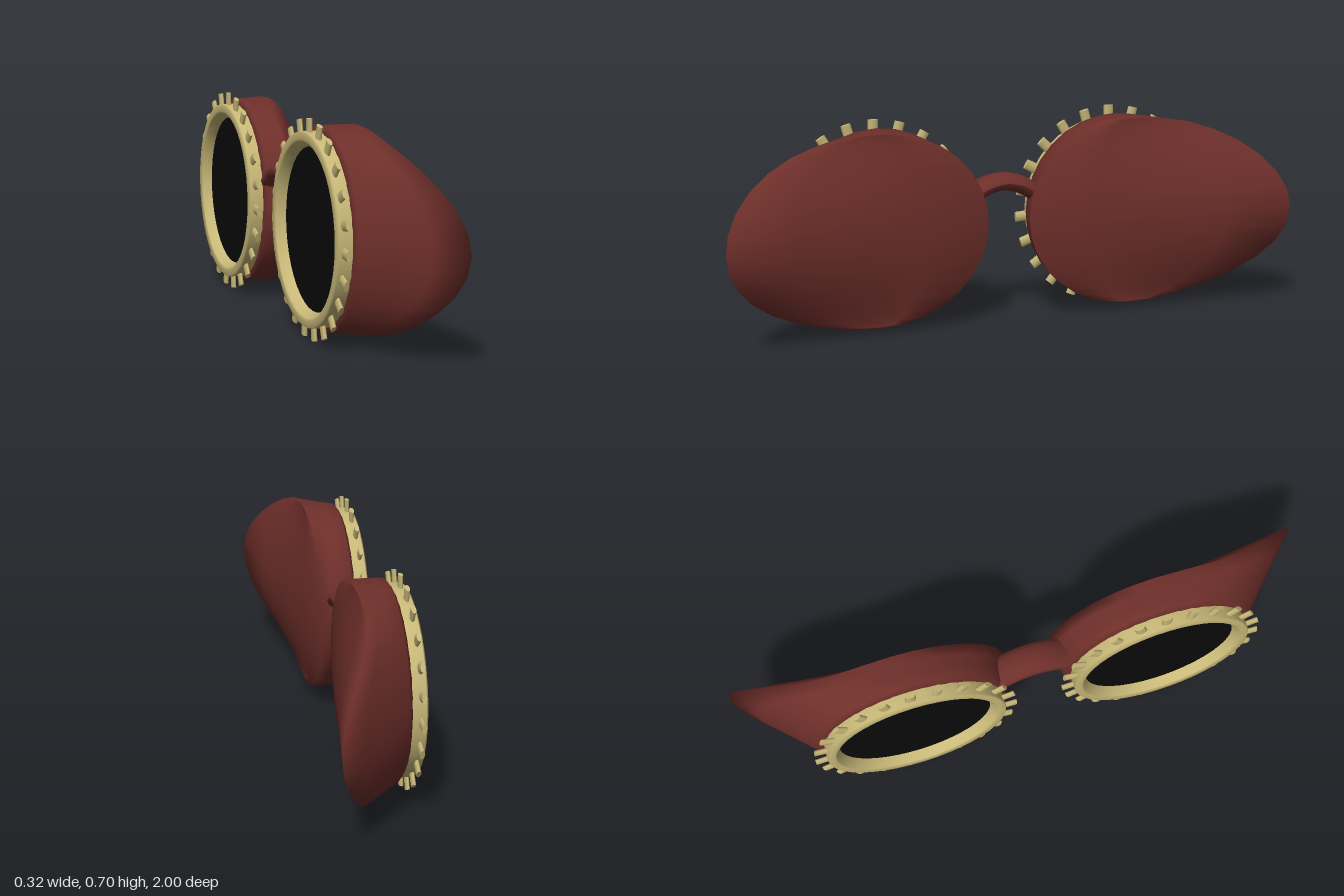
import * as THREE from 'three';
import { mergeVertices } from 'three/addons/utils/BufferGeometryUtils.js';

const SEG = 32, CY = 0.35, RING_Z = 0.43;
const red = new THREE.MeshStandardMaterial({ color: 0x6e2f2a, side: THREE.DoubleSide });
const brass = new THREE.MeshStandardMaterial({ color: 0xc8b878, side: THREE.DoubleSide });
const black = new THREE.MeshStandardMaterial({ color: 0x0a0a0a, side: THREE.DoubleSide });

function named(name, geometry, material) {
  const mesh = new THREE.Mesh(geometry, material);
  mesh.name = name;
  return mesh;
}

// A round section near the lens, in the plane x = const
const circlePoint = (x, r, a) =>
  new THREE.Vector3(x, r * Math.sin(a), RING_Z + r * Math.cos(a));

// Open edge of the cup: a lopsided oval whose outer end sweeps forward in x
function rimPoint(a) {
  const c = Math.cos(a), s = Math.sin(a);
  const off = Math.abs(Math.atan2(s, c)) / THREE.MathUtils.degToRad(75);
  const sweep = off < 1 ? (1 + Math.cos(Math.PI * off)) / 2 : 0;
  return new THREE.Vector3(0.018 + 0.142 * sweep, 0.328 * s, 0.45 + (c > 0 ? 0.55 : 0.375) * c);
}

// Cup: lofted flank plus a face ruled straight across from inner to outer edge
function cupGeometry() {
  const pos = [];
  const quad = (a, b, c, d) => {
    for (const p of [a, d, c, a, c, b]) pos.push(p.x, p.y, p.z);
  };
  const loft = (rows) => {
    for (let i = 0; i < rows.length - 1; i++)
      for (let j = 0; j < rows[i].length - 1; j++)
        quad(rows[i][j], rows[i][j + 1], rows[i + 1][j + 1], rows[i + 1][j]);
  };
  const ring = (fn) => Array.from({ length: SEG + 1 }, (_, j) => fn((j % SEG) / SEG * Math.PI * 2));

  const shoulder = (a) => circlePoint(-0.095, 0.327, a);
  const flank = [ring((a) => circlePoint(-0.1, 0.25, a)), ring((a) => circlePoint(-0.108, 0.309, a))];
  for (const t of [0, 0.33, 0.67, 1]) flank.push(ring((a) => shoulder(a).lerp(rimPoint(a), t)));
  loft(flank);

  const face = [], cols = 4;
  for (let j = 0; j <= SEG / 2; j++) {
    const a = Math.PI / 2 - j / SEG * Math.PI * 2;
    const outer = rimPoint(a), inner = rimPoint(Math.PI - a);
    face.push(Array.from({ length: cols + 1 }, (_, k) => outer.clone().lerp(inner, k / cols)));
  }
  loft(face);

  const g = new THREE.BufferGeometry();
  g.setAttribute('position', new THREE.Float32BufferAttribute(pos, 3));
  const merged = mergeVertices(g, 1e-4);
  merged.computeVertexNormals();
  return merged;
}

function eyepiece(side) {
  const group = new THREE.Group();
  group.name = side > 0 ? 'leftEyepiece' : 'rightEyepiece';
  group.position.y = CY;

  const cup = named('cup', cupGeometry(), red);
  if (side < 0) cup.rotation.x = Math.PI; // the cup is symmetric in height
  group.add(cup);

  // Bezel ring with a bevelled inner lip
  const profile = [[0.309, 0.095], [0.31, 0.105], [0.31, 0.15], [0.306, 0.156], [0.285, 0.156],
    [0.278, 0.153], [0.262, 0.128], [0.26, 0.115]].map(([r, h]) => new THREE.Vector2(r, h));
  const bezel = named('bezel', new THREE.LatheGeometry(profile, 40), brass);
  bezel.rotation.z = Math.PI / 2;
  bezel.position.z = side * RING_Z;
  group.add(bezel);

  // Dark lens
  const lens = named('lens', new THREE.CircleGeometry(0.265, 40), black);
  lens.rotation.y = -Math.PI / 2;
  lens.position.set(-0.123, 0, side * RING_Z);
  group.add(lens);

  // Studs around the bezel
  const stud = new THREE.CylinderGeometry(0.018, 0.018, 0.05, 8);
  stud.scale(0.45, 1, 1);
  const studs = new THREE.Group();
  studs.name = 'studs';
  const count = 23;
  for (let i = 0; i < count; i++) {
    const a = i / count * Math.PI * 2;
    const m = named('stud', stud, brass);
    m.position.set(-0.135, 0.325 * Math.cos(a), side * RING_Z + 0.325 * Math.sin(a));
    m.rotation.x = a;
    studs.add(m);
  }
  group.add(studs);
  return group;
}

// Arched nose bridge, flattened in height and wide in depth
function bridge() {
  const path = new THREE.CatmullRomCurve3([[0.40, -0.17], [0.435, -0.11], [0.462, -0.06], [0.474, 0],
    [0.462, 0.06], [0.435, 0.11], [0.40, 0.17]].map(([y, z]) => new THREE.Vector3(0, y, z)));
  const g = new THREE.TubeGeometry(path, 20, 0.031, 14);
  g.scale(1.8, 1, 1);
  g.computeVertexNormals();
  const m = named('noseBridge', g, red);
  m.position.x = -0.057;
  return m;
}

export function createModel() {
  const model = new THREE.Group();
  model.name = 'goggles';
  model.add(eyepiece(1), eyepiece(-1), bridge());
  return model;
}
